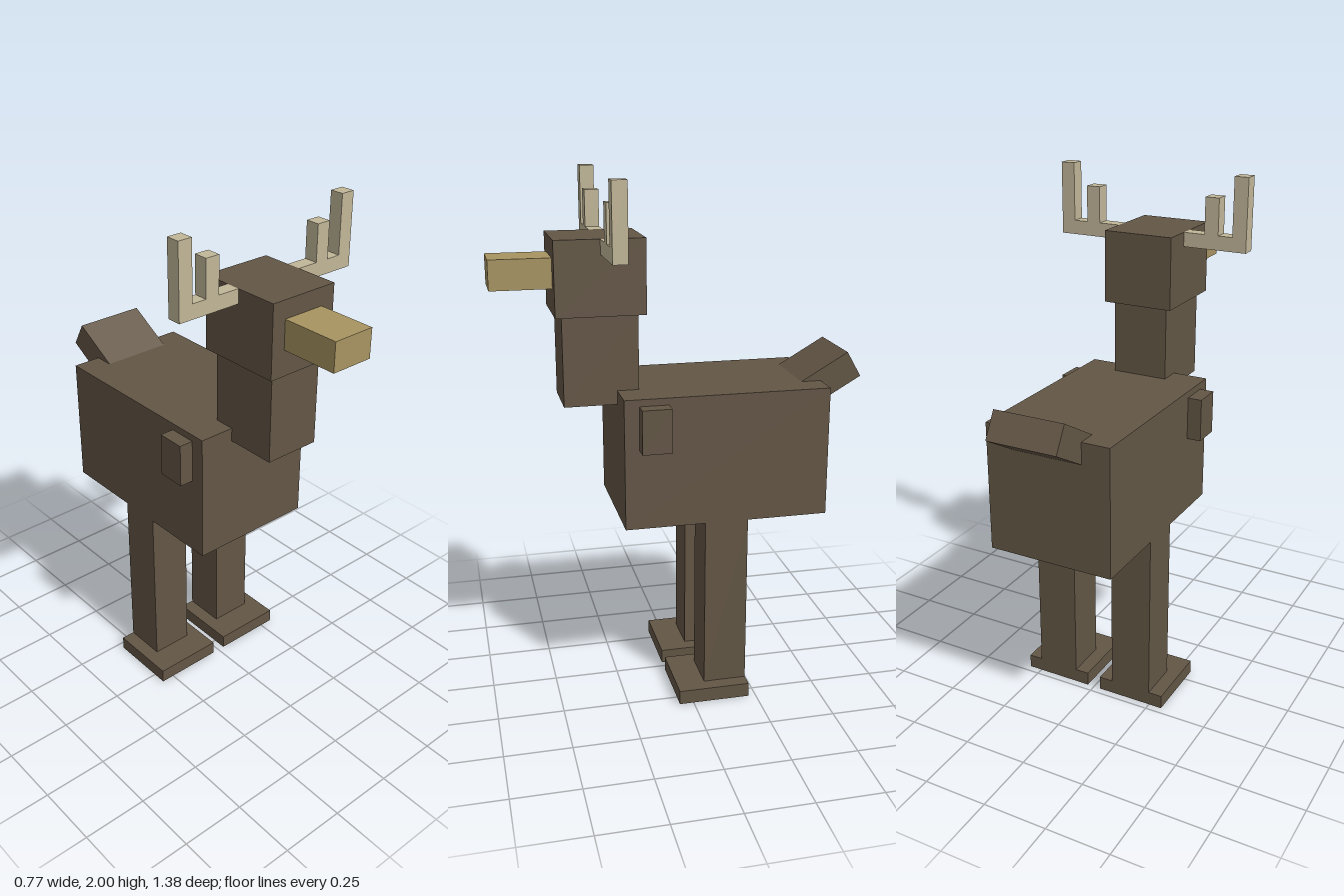
import * as THREE from 'three';

export function createModel() {
  const model = new THREE.Group();
  model.name = 'blockDeer';

  const material = (name, color) => {
    const m = new THREE.MeshStandardMaterial({ color });
    m.name = name;
    return m;
  };
  const fur = material('brown fur', 0x635645);
  const tan = material('tan snout', 0xa89462);
  const bone = material('pale antler', 0xc1b698);

  // Box given by its extents along each axis
  const block = (name, mat, [x0, x1], [y0, y1], [z0, z1], parent = model) => {
    const mesh = new THREE.Mesh(new THREE.BoxGeometry(x1 - x0, y1 - y0, z1 - z0), mat);
    mesh.position.set((x0 + x1) / 2, (y0 + y1) / 2, (z0 + z1) / 2);
    mesh.name = name;
    parent.add(mesh);
    return mesh;
  };

  // Trunk, neck and head
  block('body', fur, [-0.248, 0.248], [0.725, 1.222], [-0.53, 0.248]);
  block('neck', fur, [-0.11, 0.11], [1.17, 1.505], [0.166, 0.445]);
  block('head', fur, [-0.138, 0.138], [1.505, 1.78], [0.14, 0.47]);
  block('snout', tan, [-0.083, 0.083], [1.602, 1.712], [0.47, 0.694]);

  // Tail, tilted up towards the back
  const tail = block('tail', fur, [-0.138, 0.138], [1.155, 1.265], [-0.681, -0.405]);
  tail.rotation.x = Math.PI / 6;

  // Paired parts, mirrored across x
  for (const [side, s] of [['left', 1], ['right', -1]]) {
    const pair = new THREE.Group();
    pair.name = side + 'Side';
    model.add(pair);
    const part = (name, mat, [a, b], y, z) =>
      block(side + name, mat, s > 0 ? [a, b] : [-b, -a], y, z, pair);

    part('Leg', fur, [0.083, 0.248], [0.055, 0.725], [-0.221, -0.055]);
    part('Foot', fur, [0.028, 0.303], [0, 0.055], [-0.221, 0.055]);
    part('ShoulderStub', fur, [0.248, 0.303], [1.03, 1.196], [0.083, 0.193]);
    part('AntlerBeam', bone, [0.138, 0.387], [1.726, 1.78], [0.25, 0.304]);
    part('AntlerInnerTine', bone, [0.221, 0.276], [1.78, 1.918], [0.25, 0.304]);
    part('AntlerOuterTine', bone, [0.332, 0.387], [1.78, 2], [0.25, 0.304]);
  }

  return model;
}
